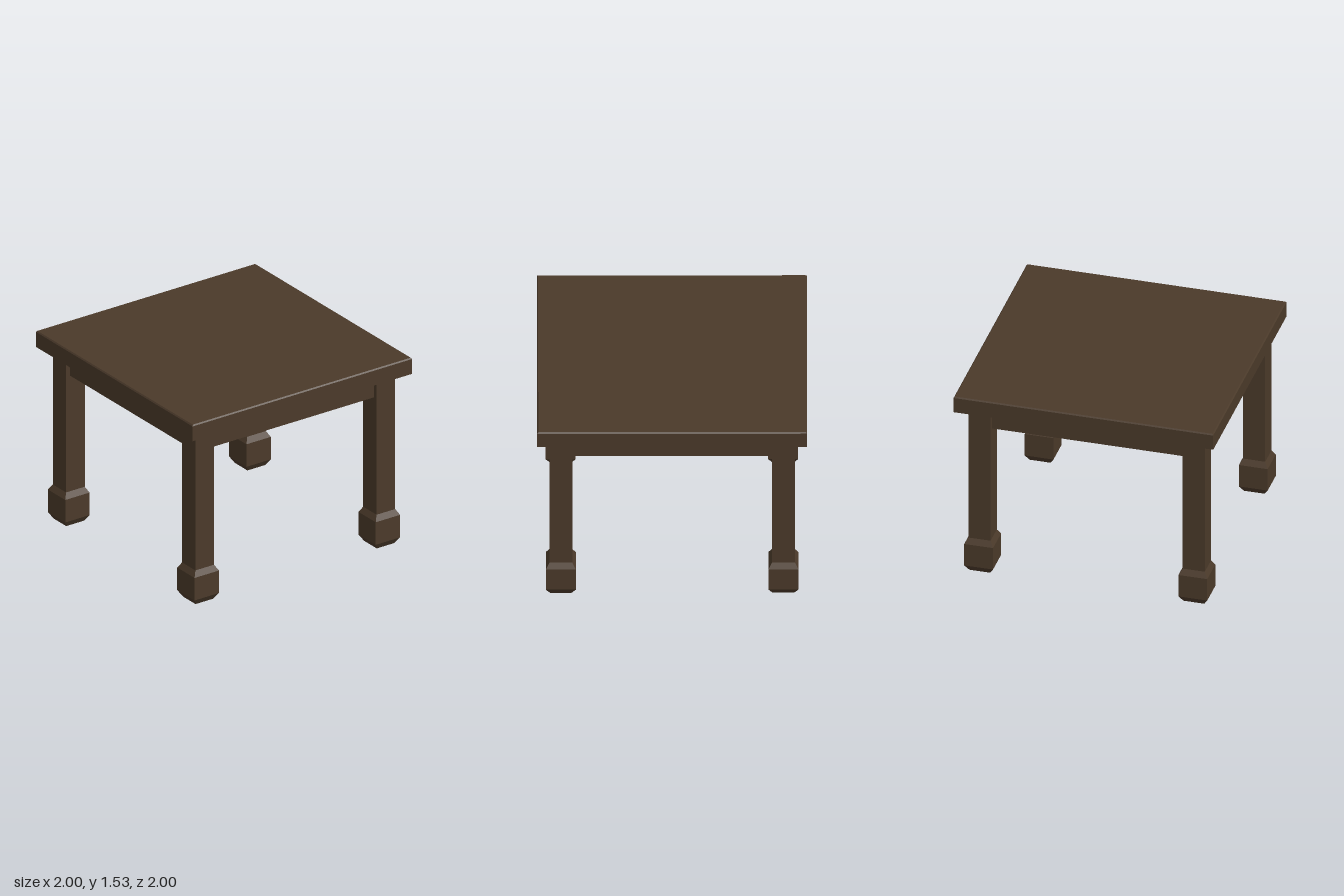
import * as THREE from 'three';

const wood = new THREE.MeshStandardMaterial({ color: 0x4b3a2a, flatShading: true });

// Square-section solid from [half width, height] pairs, listed bottom to top
function squareTurned(name, profile) {
  const pts = profile.map(([h, y]) => new THREE.Vector2(h * Math.SQRT2, y));
  pts.unshift(new THREE.Vector2(0, profile[0][1]));
  pts.push(new THREE.Vector2(0, profile[profile.length - 1][1]));
  const geo = new THREE.LatheGeometry(pts, 4).rotateY(Math.PI / 4).toNonIndexed();
  geo.computeVertexNormals();
  const mesh = new THREE.Mesh(geo, wood);
  mesh.name = name;
  return mesh;
}

export function createModel() {
  const table = new THREE.Group();
  table.name = 'table';

  // Slab with a fine bevel round the upper edge
  table.add(squareTurned('tableTop', [[1, 1.4], [1, 1.522], [0.992, 1.532]]));

  // Four legs with block feet
  const legCentre = 0.825;
  const legProfile = [[0.08, 0], [0.111, 0.05], [0.111, 0.235], [0.085, 0.28], [0.085, 1.4]];
  for (const sx of [-1, 1]) {
    for (const sz of [-1, 1]) {
      const leg = squareTurned('leg', legProfile);
      leg.position.set(sx * legCentre, 0, sz * legCentre);
      table.add(leg);
    }
  }

  // Four apron rails between the legs
  for (let i = 0; i < 4; i++) {
    const geo = new THREE.BoxGeometry(1.48, 0.17, 0.1);
    geo.translate(0, 1.315, legCentre).rotateY(i * Math.PI / 2);
    const rail = new THREE.Mesh(geo, wood);
    rail.name = 'apronRail';
    table.add(rail);
  }

  return table;
}
